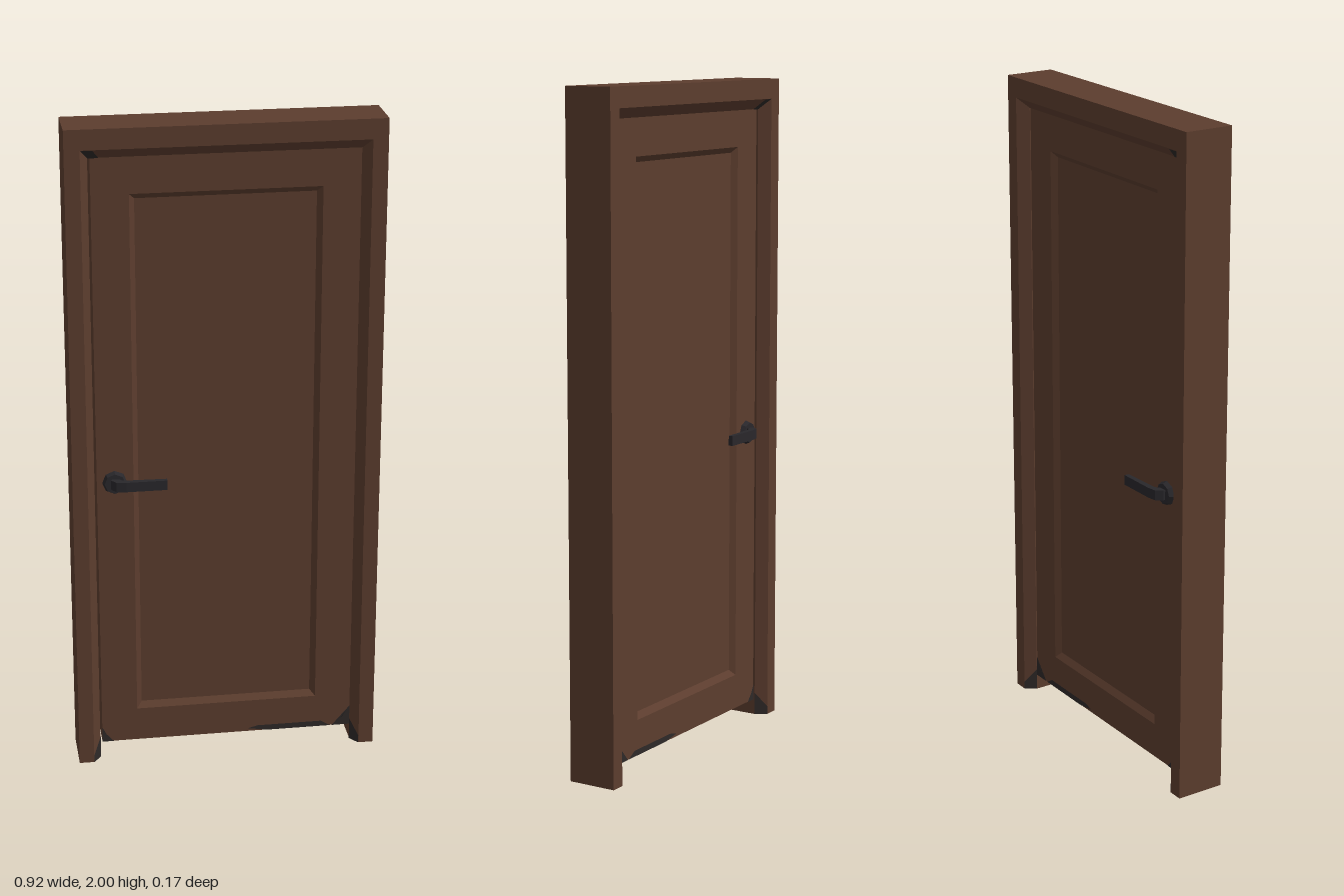
import * as THREE from 'three';

const wood = new THREE.MeshStandardMaterial({ color: 0x5c3d2e });
wood.name = 'brown wood';
const iron = new THREE.MeshStandardMaterial({ color: 0x29272b });
iron.name = 'dark iron';
const worn = new THREE.MeshStandardMaterial({ color: 0x2e2928, side: THREE.DoubleSide });
worn.name = 'worn dark wood';

// Joins rings of points into a hard-edged skin; the end caps form material group 1.
function loft(rings) {
  const pos = [];
  const tri = (...p) => p.forEach((q) => pos.push(...q));
  for (let i = 0; i < rings.length - 1; i++) {
    const r = rings[i], s = rings[i + 1];
    r.forEach((a, j) => {
      const k = (j + 1) % r.length;
      tri(a, r[k], s[k]);
      tri(a, s[k], s[j]);
    });
  }
  const sideCount = pos.length / 3;
  const first = rings[0], last = rings[rings.length - 1];
  for (let j = 1; j < first.length - 1; j++) {
    tri(first[0], first[j + 1], first[j]);
    tri(last[0], last[j], last[j + 1]);
  }
  const g = new THREE.BufferGeometry();
  g.setAttribute('position', new THREE.Float32BufferAttribute(pos, 3));
  g.addGroup(0, sideCount, 0);
  g.addGroup(sideCount, pos.length / 3 - sideCount, 1);
  g.computeVertexNormals();
  return g;
}

// Thin flat patch from a convex outline in space.
function patch(points) {
  const g = new THREE.BufferGeometry().setFromPoints(points.map((p) => new THREE.Vector3(...p)));
  const index = [];
  for (let i = 1; i < points.length - 1; i++) index.push(0, i, i + 1);
  g.setIndex(index);
  g.computeVertexNormals();
  return g;
}

function add(parent, name, geometry, material) {
  const mesh = new THREE.Mesh(geometry, material);
  mesh.name = name;
  parent.add(mesh);
  return mesh;
}

export function createModel() {
  const model = new THREE.Group();
  model.name = 'door';

  // Frame: chamfered profile (inset from outside, z) swept up, across and down with mitres
  const profile = [[0, -0.075], [0, 0.075], [0.045, 0.075], [0.068, 0.042], [0.068, -0.042], [0.045, -0.075]];
  const station = (side, top) => profile.map(([i, z]) => [side * (0.46 - i), top ? 2 - i * 1.33 : 0, z]);
  add(model, 'frame', loft([station(-1, false), station(-1, true), station(1, true), station(1, false)]), [wood, worn]);

  // Door leaf: rectangular rings from the back panel to the front panel
  const rect = (x0, x1, y0, y1, z) => [[x0, y0, z], [x1, y0, z], [x1, y1, z], [x0, y1, z]];
  const inner = (z) => rect(-0.26, 0.265, 0.175, 1.783, z);
  const lip = (z) => rect(-0.276, 0.281, 0.157, 1.8, z);
  const edge = (z) => rect(-0.385, 0.391, 0.05, 1.912, z);
  add(model, 'doorLeaf', loft([inner(-0.025), lip(-0.04), edge(-0.04), edge(0.04), lip(0.04), inner(0.025)]), [wood, wood]);

  // Handles: rosette and bent lever, turned over for the back
  const path = [[-0.33, 0.04, 0, 0.014], [-0.33, 0.06, 0, 0.014], [-0.322, 0.071, 0.8, 0.012],
    [-0.3, 0.075, 1.45, 0.009], [-0.18, 0.077, Math.PI / 2, 0.007]];
  const lever = loft(path.map(([x, z, turn, w]) =>
    [[-1, -1], [1, -1], [1, 1], [-1, 1]].map(([a, b]) =>
      [x + a * w * Math.cos(turn), b * 0.015, z - a * w * Math.sin(turn)])));
  const rosette = new THREE.CylinderGeometry(0.031, 0.037, 0.014, 8).toNonIndexed();
  rosette.computeVertexNormals();
  rosette.rotateX(Math.PI / 2).translate(-0.332, 0, 0.047);
  for (const back of [false, true]) {
    const handle = new THREE.Group();
    handle.name = back ? 'backHandle' : 'frontHandle';
    handle.position.y = 0.92;
    if (back) handle.rotation.x = Math.PI;
    add(handle, 'rosette', rosette, iron);
    add(handle, 'lever', lever, [iron, iron]);
    model.add(handle);
  }

  // Worn patches at the foot of the leaf and on the frame chamfers
  const leafWear = [
    [[-0.385, 0.05], [-0.35, 0.05], [-0.372, 0.075], [-0.385, 0.1]],
    [[0.335, 0.05], [0.391, 0.05], [0.391, 0.115], [0.37, 0.08]],
    [[0.13, 0.05], [0.33, 0.05], [0.3, 0.068], [0.1, 0.068], [0.07, 0.06]],
  ];
  for (const s of [1, -1]) {
    for (const shape of leafWear) {
      add(model, 'leafWear', patch(shape.map(([x, y]) => [x, y, s * 0.0415])), worn);
    }
    for (const side of [1, -1]) {
      add(model, 'jambWear', patch([[side * 0.4142, 0, s * 0.0758], [side * 0.3908, 0, s * 0.0428],
        [side * 0.3908, 0.07, s * 0.0428], [side * 0.4142, 0.025, s * 0.0758]]), worn);
    }
    add(model, 'headWear', patch([[-0.413, 1.939, s * 0.0755], [-0.38, 1.939, s * 0.0755],
      [-0.36, 1.9085, s * 0.0425], [-0.391, 1.9085, s * 0.0425]]), worn);
  }
  return model;
}
